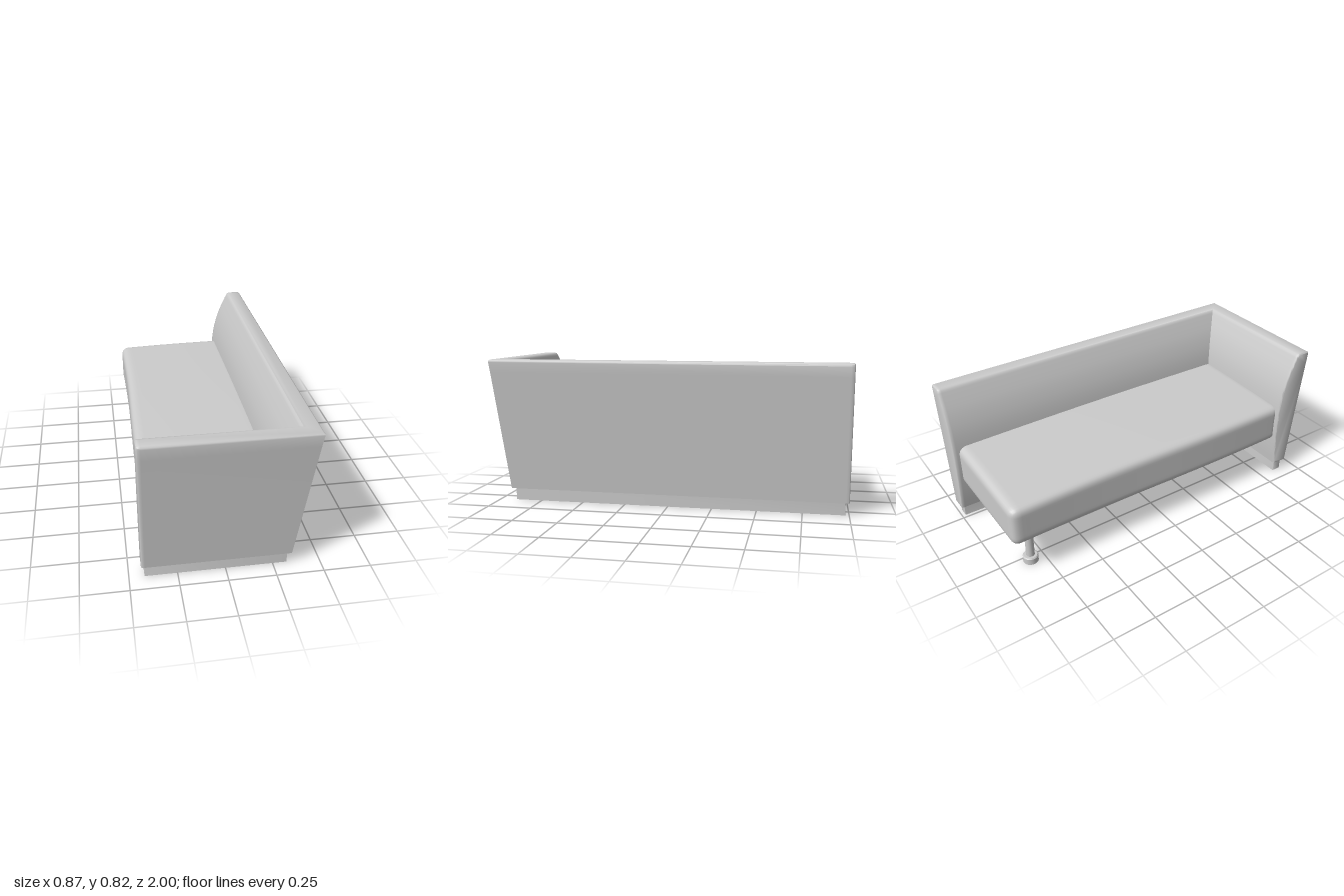
import * as THREE from 'three';
import { mergeVertices, toCreasedNormals } from 'three/addons/utils/BufferGeometryUtils.js';

const material = new THREE.MeshStandardMaterial({ color: 0xcccccc });
const openMaterial = new THREE.MeshStandardMaterial({ color: 0xcccccc, side: THREE.DoubleSide });

function add(group, name, geometry, x = 0, y = 0, z = 0) {
  const mesh = new THREE.Mesh(geometry, material);
  mesh.name = name;
  mesh.position.set(x, y, z);
  group.add(mesh);
  return mesh;
}

// Sweeps a profile of (x, y) points along the back, round a mitred corner and along the arm.
// With closed = false the side from the last point to the first is left open.
function mitredSweep(profile, zEnd, xEnd, bevel, closed = true) {
  if (THREE.ShapeUtils.isClockWise(profile)) profile.reverse();
  const n = profile.length;
  const armZ = (p) => p.x + 0.565 + 0.015 * (1 - Math.max(0, p.y - 0.07) / 0.755);
  // inset copy of the profile, used for softened ends
  const inset = profile.map((p, i) => {
    const a = profile[(i + n - 1) % n], b = profile[(i + 1) % n];
    const d = b.clone().sub(a).normalize();
    return new THREE.Vector2(p.x - d.y * bevel, p.y + d.x * bevel);
  });
  const onBack = (z) => (p) => [p.x, p.y, z];
  const onArm = (x) => (p) => [x, p.y, armZ(p)];
  const rings = [
    inset.map(onBack(zEnd)),
    profile.map(onBack(zEnd + bevel)),
    profile.map(onBack(zEnd + 4 * bevel)),
    profile.map((p) => [p.x, p.y, armZ(p)]),
    profile.map(onArm(xEnd + 4 * bevel)),
    profile.map(onArm(xEnd + bevel)),
    inset.map(onArm(xEnd)),
  ];
  const index = [];
  for (let r = 0; r < rings.length - 1; r++) {
    for (let i = 0; i < (closed ? n : n - 1); i++) {
      const a = r * n + i, b = r * n + (i + 1) % n;
      index.push(a, b, b + n, a, b + n, a + n);
    }
  }
  // end caps
  const last = (rings.length - 1) * n;
  for (const [a, b, c] of THREE.ShapeUtils.triangulateShape(inset, [])) {
    index.push(a, c, b, last + a, last + b, last + c);
  }
  const geometry = new THREE.BufferGeometry();
  geometry.setAttribute('position', new THREE.Float32BufferAttribute(rings.flat(2), 3));
  geometry.setIndex(index);
  return toCreasedNormals(geometry, 0.95);
}

// Box with rounded edges, gently crowned top and a slightly wavy front edge.
function cushion(w, h, d, radius) {
  const box = new THREE.BoxGeometry(w, h, d, 36, 14, 90);
  box.deleteAttribute('normal');
  box.deleteAttribute('uv');
  const geometry = mergeVertices(box);
  const half = new THREE.Vector3(w / 2 - radius, h / 2 - radius, d / 2 - radius);
  const low = half.clone().negate();
  const pos = geometry.attributes.position;
  const v = new THREE.Vector3(), core = new THREE.Vector3();
  for (let i = 0; i < pos.count; i++) {
    v.fromBufferAttribute(pos, i);
    core.copy(v).clamp(low, half);
    v.sub(core).setLength(radius).add(core);
    const front = 0.5 - v.x / w;
    v.x -= front * 0.006 * Math.sin(v.z * 3.5);
    if (v.y > 0) v.y += (0.008 * Math.cos(v.z * 1.7) - 0.015 * front * front) * (v.y / (h / 2));
    pos.setXYZ(i, v.x, v.y, v.z);
  }
  geometry.computeVertexNormals();
  return geometry;
}

const points = (list) => list.map(([x, y]) => new THREE.Vector2(x, y));

export function createModel() {
  const sofa = new THREE.Group();
  sofa.name = 'sofa';

  // Upholstered back and arm: straight leaning outside, bulging inside
  const inside = new THREE.SplineCurve(points([
    [0.346, 0.814], [0.326, 0.772], [0.291, 0.69], [0.262, 0.59], [0.246, 0.48],
    [0.24, 0.36], [0.242, 0.24], [0.247, 0.15], [0.255, 0.071],
  ])).getPoints(24);
  const shell = [
    ...points([[0.345, 0.071], [0.427, 0.75], [0.435, 0.81], [0.434, 0.819], [0.426, 0.825], [0.366, 0.825], [0.354, 0.822]]),
    ...inside,
  ];
  add(sofa, 'backAndArm', mitredSweep(shell, -1, -0.437, 0.005));

  // Recessed plinth below the back and arm, hollow and open underneath
  const plinth = points([[0.325, 0], [0.325, 0.08], [0.27, 0.08], [0.27, 0]]);
  add(sofa, 'plinth', mitredSweep(plinth, -0.98, -0.42, 0.002, false)).material = openMaterial;

  // Seat cushion on a thin board
  add(sofa, 'seatCushion', cushion(0.705, 0.25, 1.825, 0.045), -0.055, 0.366, -0.055);
  add(sofa, 'seatBoard', new THREE.BoxGeometry(0.64, 0.025, 1.72), -0.035, 0.231, 0);

  // Single round leg with a wide foot at the open corner
  const leg = new THREE.Group();
  leg.name = 'leg';
  leg.position.set(-0.283, 0, -0.83);
  add(leg, 'legStem', new THREE.CylinderGeometry(0.024, 0.024, 0.2, 24), 0, 0.13, 0);
  const foot = points([[0, 0.012], [0.032, 0.012], [0.032, 0], [0.043, 0], [0.043, 0.036], [0.038, 0.042], [0, 0.042]]);
  add(leg, 'legFoot', toCreasedNormals(new THREE.LatheGeometry(foot, 24), 0.5));
  sofa.add(leg);

  return sofa;
}
